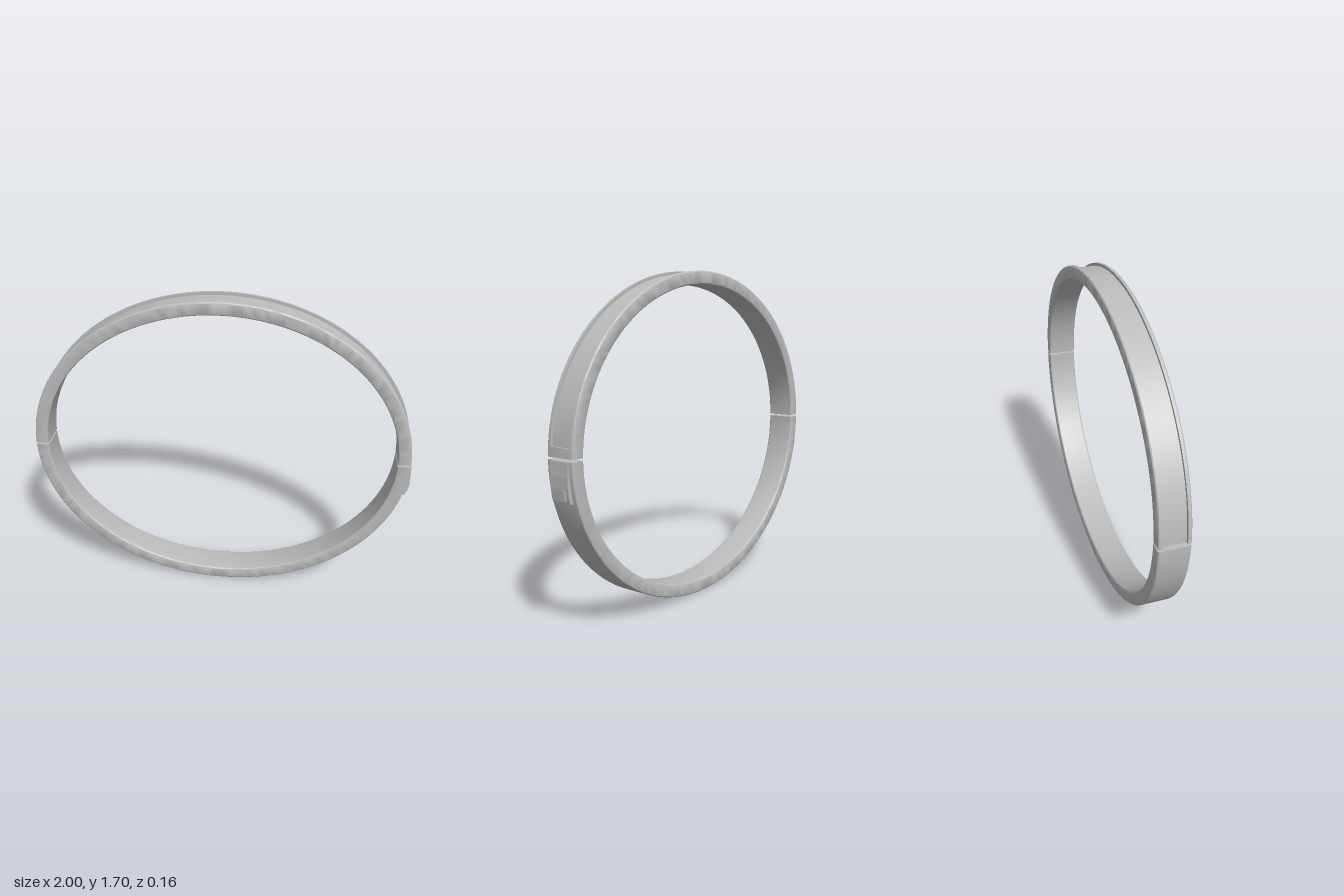
import * as THREE from 'three';
import { toCreasedNormals } from 'three/addons/utils/BufferGeometryUtils.js';

const CX = -0.0075, CY = 0.85, RX = 0.9925, RY = 0.85;
const HALF_WIDTH = 0.078, THICK = 0.068, FILLET = 0.009;

// Point on the oval, pushed outward along its normal by `out`
function ovalPoint(t, out, z) {
  const c = Math.cos(t), s = Math.sin(t);
  const n = new THREE.Vector2(c / RX, s / RY).normalize();
  return [CX + RX * c + n.x * out, CY + RY * s + n.y * out, z];
}

// Band cross-section as (z, outward) points with rounded corners and an optional outer channel
function bandProfile(channel) {
  const pts = [];
  const corner = (z, v, start) => {
    for (let i = 0; i <= 4; i++) {
      const a = start + (i / 4) * Math.PI / 2;
      pts.push(new THREE.Vector2(z + FILLET * Math.cos(a), v + FILLET * Math.sin(a)));
    }
  };
  const z = HALF_WIDTH - FILLET;
  corner(-z, -THICK + FILLET, Math.PI);
  corner(z, -THICK + FILLET, -Math.PI / 2);
  corner(z, -FILLET, 0);
  if (channel) {
    for (const [u, v] of [[0.058, 0], [0.058, -0.015], [-0.058, -0.015], [-0.058, 0]]) {
      pts.push(new THREE.Vector2(u, v));
    }
  }
  corner(-z, -FILLET, Math.PI / 2);
  return pts;
}

// Sweep a cross-section along the oval from angle t0 to t1, closing both ends
function sweep(profile, t0, t1, steps) {
  const pos = [], n = profile.length;
  const at = (i, j) => {
    const p = profile[i % n];
    return ovalPoint(t0 + (t1 - t0) * j / steps, p.y, p.x);
  };
  for (let j = 0; j < steps; j++) {
    for (let i = 0; i < n; i++) {
      const a = at(i, j), b = at(i + 1, j), c = at(i + 1, j + 1), d = at(i, j + 1);
      pos.push(...a, ...b, ...c, ...a, ...c, ...d);
    }
  }
  for (const [a, b, c] of THREE.ShapeUtils.triangulateShape(profile, [])) {
    pos.push(...at(a, steps), ...at(b, steps), ...at(c, steps));
    pos.push(...at(a, 0), ...at(c, 0), ...at(b, 0));
  }
  const geo = new THREE.BufferGeometry();
  geo.setAttribute('position', new THREE.Float32BufferAttribute(pos, 3));
  return toCreasedNormals(geo, 0.6);
}

// Side outline extruded evenly about z = 0
function slab(points, halfZ) {
  const shape = new THREE.Shape(points.map(([x, y]) => new THREE.Vector2(x, y)));
  const geo = new THREE.ExtrudeGeometry(shape, { depth: halfZ * 2, bevelEnabled: false });
  return geo.translate(0, 0, -halfZ);
}

export function createModel() {
  const group = new THREE.Group();
  group.name = 'hingedBangle';
  const metal = new THREE.MeshStandardMaterial({ color: 0xbcbcbc });
  metal.name = 'grey metal';
  const add = (name, geo) => {
    const mesh = new THREE.Mesh(geo, metal);
    mesh.name = name;
    group.add(mesh);
  };

  // Upper half: channelled arc with a solid block at the clasp end
  const gap = 0.014, blockEnd = 0.067;
  add('upperChannelBand', sweep(bandProfile(true), blockEnd, Math.PI - gap, 96));
  add('upperClaspEnd', sweep(bandProfile(false), gap, blockEnd, 3));

  // Lower half: plain arc
  add('lowerBand', sweep(bandProfile(false), -Math.PI, 0, 96));

  // Clasp tongue and its push button on the left side
  add('claspPlate', slab([
    [0.94, 0.662], [0.979, 0.662], [0.987, 0.69], [0.992, 0.73],
    [0.994, 0.78], [0.991, 0.849], [0.95, 0.849],
  ], 0.053));
  add('claspButton', slab([[0.965, 0.672], [0.992, 0.674], [1.0, 0.724], [0.97, 0.718]], 0.035));

  return group;
}
